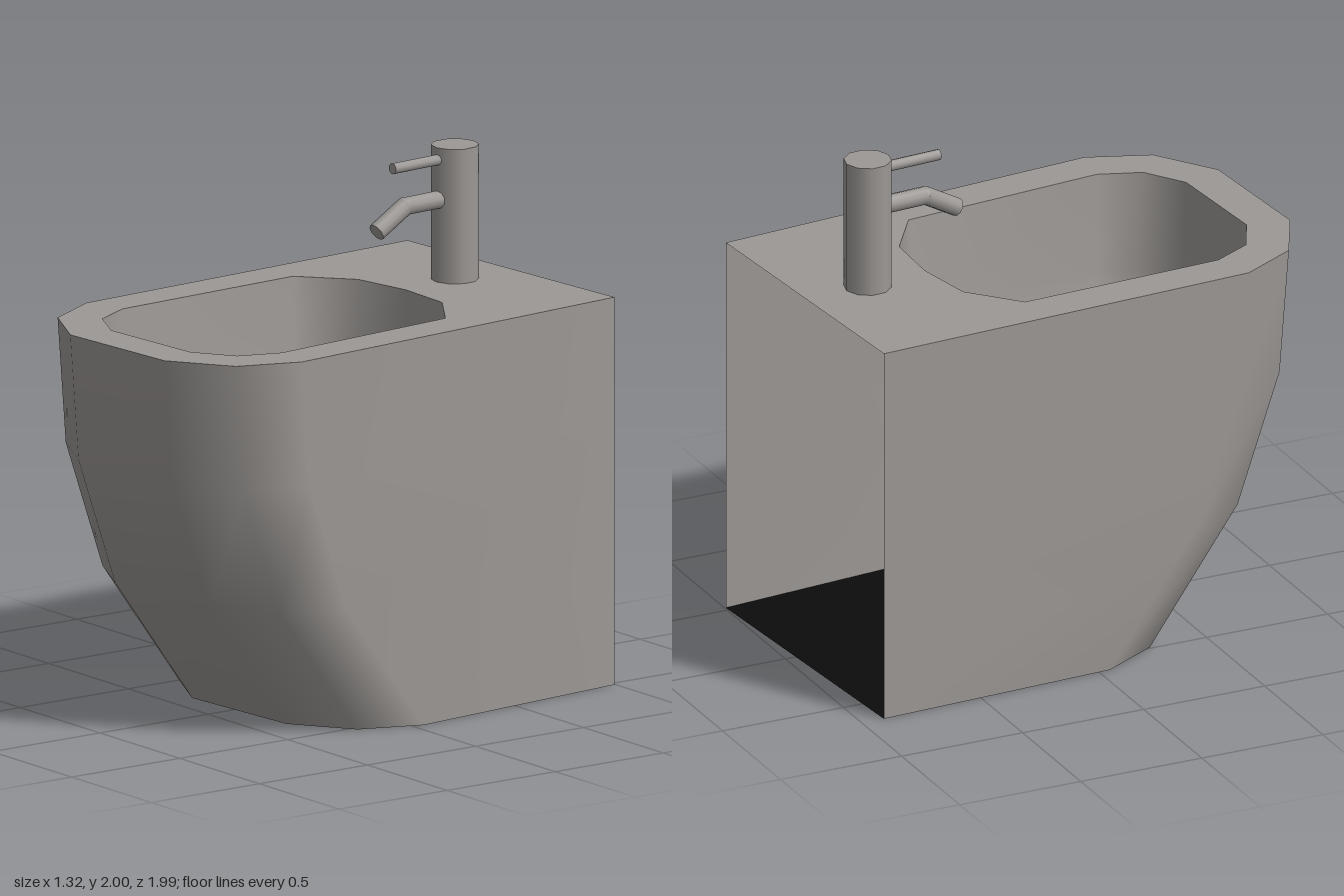
import * as THREE from 'three';

const ceramic = new THREE.MeshStandardMaterial({ color: 0x9c9895, side: THREE.DoubleSide });
ceramic.name = 'warm grey';
const dark = new THREE.MeshStandardMaterial({ color: 0x0c0c0c, side: THREE.DoubleSide });
dark.name = 'black';

const TOP = 1.485;

// Outlines in plan, [x, z], running from the left side round the front to the right side
const mirror = half => [...half, ...half.slice().reverse().map(([x, z]) => [-x, z])];
const RIM = mirror([[-0.593, -0.955], [-0.617, 0.597], [-0.51, 0.83], [-0.27, 0.973]]);
const BOWL = [[0, -0.44], ...mirror([[-0.24, -0.413], [-0.437, -0.26], [-0.456, 0.558], [-0.386, 0.717], [-0.226, 0.81]])];

function mesh(name, geometry, material) {
  const m = new THREE.Mesh(geometry, material);
  m.name = name;
  return m;
}

// Smooth skin through rings of [x, y, z] points
function loft(rings, closed) {
  const n = rings[0].length, index = [];
  for (let i = 0; i < rings.length - 1; i++) {
    for (let j = 0; j < (closed ? n : n - 1); j++) {
      const k = (j + 1) % n;
      const a = i * n + j, b = i * n + k, c = (i + 1) * n + k, d = (i + 1) * n + j;
      index.push(a, b, c, a, c, d);
    }
  }
  const g = new THREE.BufferGeometry();
  g.setAttribute('position', new THREE.Float32BufferAttribute(rings.flat(2), 3));
  g.setIndex(index);
  g.computeVertexNormals();
  return g;
}

// Flat horizontal plate from a plan outline, facing up
function plate(outline, y, hole) {
  const pts = o => o.map(([x, z]) => new THREE.Vector2(x, -z));
  const shape = new THREE.Shape(pts(outline));
  if (hole) shape.holes.push(new THREE.Path(pts(hole)));
  return new THREE.ShapeGeometry(shape).rotateX(-Math.PI / 2).translate(0, y, 0);
}

// Round bar between two points
function rod(a, b, radius, sides) {
  const p = new THREE.Vector3(...a), q = new THREE.Vector3(...b);
  const dir = q.clone().sub(p);
  const g = new THREE.CylinderGeometry(radius, radius, dir.length(), sides);
  g.applyQuaternion(new THREE.Quaternion().setFromUnitVectors(new THREE.Vector3(0, 1, 0), dir.normalize()));
  const mid = p.add(q).multiplyScalar(0.5);
  return g.translate(mid.x, mid.y, mid.z);
}

export function createModel() {
  const model = new THREE.Group();
  model.name = 'bidet';
  const body = new THREE.Group();
  body.name = 'basinBody';
  const tap = new THREE.Group();
  tap.name = 'tap';

  // Outer wall: the front recedes towards the floor, the back is open
  const section = back => RIM.map(([x, z], i) => [x, i === 0 || i === RIM.length - 1 ? z : z - back]);
  const wall = [[0, 0.597], [0.5, 0.22], [1, 0.04], [TOP, 0]]
    .map(([y, back]) => section(back).map(([x, z]) => [x, y, z]));
  body.add(mesh('outerWall', loft(wall, false), ceramic));
  body.add(mesh('floorPlate', plate(section(0.597), 0), dark));
  body.add(mesh('topLedge', plate(RIM, TOP, BOWL), ceramic));

  // Bowl: [height, width scale, length scale] down to a point
  const cz = 0.18;
  const bowl = [[TOP, 1, 1], [1.12, 0.94, 0.96], [0.77, 0.83, 0.88], [0.67, 0.6, 0.65], [0.64, 0, 0]]
    .map(([y, sx, sz]) => BOWL.map(([x, z]) => [x * sx, y, cz + (z - cz) * sz]));
  body.add(mesh('bowl', loft(bowl, true), ceramic));

  // Tap: column, bent spout and lever
  const tx = -0.018, tz = -0.696;
  tap.add(mesh('tapColumn', rod([tx, TOP, tz], [tx, 2, tz], 0.09, 10), ceramic));
  const base = new THREE.CircleGeometry(0.09, 10).rotateX(Math.PI / 2).translate(tx, TOP - 0.003, tz);
  tap.add(mesh('tapBase', base, dark));
  const bend = [tx, 1.8, -0.45];
  tap.add(mesh('spoutArm', rod([tx, 1.8, tz], bend, 0.035, 10), ceramic));
  tap.add(mesh('spoutBend', new THREE.SphereGeometry(0.035, 10, 8).translate(...bend), ceramic));
  tap.add(mesh('spoutTip', rod(bend, [tx, 1.722, -0.312], 0.035, 10), ceramic));
  tap.add(mesh('lever', rod([tx, 1.953, tz], [tx, 1.953, -0.39], 0.021, 10), ceramic));

  model.add(body, tap);
  body.rotation.y = tap.rotation.y = 0.072;
  return model;
}
